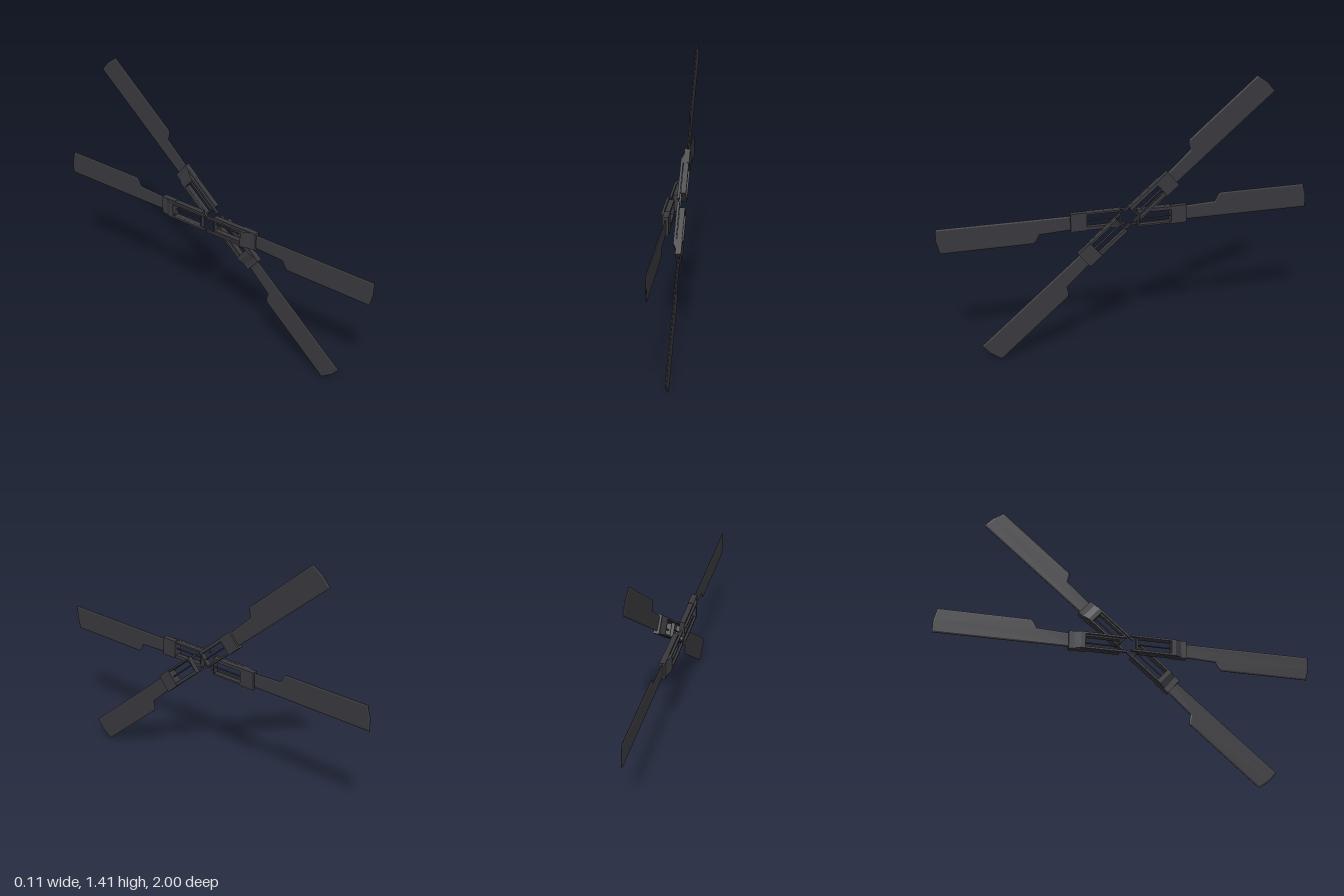
import * as THREE from 'three';

// Arm space: x runs out along the blade, y across its chord, z through its thickness.
function outline(points) {
  return new THREE.Shape(points.map(([x, y]) => new THREE.Vector2(x, y)));
}

function rectHole(x0, x1, y0, y1) {
  return new THREE.Path([[x0, y0], [x0, y1], [x1, y1], [x1, y0]].map(([x, y]) => new THREE.Vector2(x, y)));
}

function createArm(material) {
  const arm = new THREE.Group();
  const add = (name, geometry, x = 0, y = 0, z = 0) => {
    const mesh = new THREE.Mesh(geometry, material);
    mesh.name = name;
    mesh.position.set(x, y, z);
    arm.add(mesh);
    return mesh;
  };

  // Thin blade with bevelled edges, a narrow root and a clipped tip
  const blade = outline([
    [0.27, -0.04], [1.0, -0.0425], [1.0, 0.022], [0.982, 0.0905],
    [0.505, 0.0905], [0.49, 0.075], [0.475, 0.045], [0.27, 0.036],
  ]);
  add('blade', new THREE.ExtrudeGeometry(blade, {
    depth: 0.002, bevelThickness: 0.003, bevelSize: 0.008, bevelOffset: -0.008, bevelSegments: 1,
  }), 0, 0, -0.001);

  // Open grip frame with a solid outer end
  const frame = outline([[0.045, -0.05], [0.23, -0.05], [0.23, 0.043], [0.045, 0.043]]);
  frame.holes.push(rectHole(0.052, 0.228, -0.041, 0.026));
  add('gripFrame', new THREE.ExtrudeGeometry(frame, { depth: 0.027, bevelEnabled: false }), 0, 0, -0.014);
  add('gripBlock', new THREE.BoxGeometry(0.085, 0.098, 0.03), 0.27, -0.004, 0);

  // Thin rod through the middle of the frame
  const rod = add('gripRod', new THREE.CylinderGeometry(0.004, 0.004, 0.18, 8), 0.14, -0.008, 0);
  rod.rotation.z = Math.PI / 2;

  // Slim inner rails
  for (const y of [-0.044, 0.037]) {
    add('innerRail', new THREE.BoxGeometry(0.22, 0.01, 0.013), 0.12, y, -0.0235);
  }

  // Tapered web joining the rails to the block
  const web = outline([[0.228, 0.014], [0.285, 0.014], [0.25, 0.03], [0.228, 0.03]]);
  const webGeometry = new THREE.ExtrudeGeometry(web, { depth: 0.091, bevelEnabled: false });
  webGeometry.rotateX(-Math.PI / 2).rotateX(Math.PI).translate(0, 0.042, 0);
  webGeometry.computeBoundingBox();
  const box = webGeometry.boundingBox;
  if (box.max.z > 0) webGeometry.rotateX(Math.PI);
  webGeometry.computeBoundingBox();
  webGeometry.translate(0, 0.042 - webGeometry.boundingBox.max.y, 0);
  add('taperedWeb', webGeometry);
  return arm;
}

export function createModel() {
  const model = new THREE.Group();
  model.name = 'tailRotor';
  const darkGrey = new THREE.MeshStandardMaterial({ color: 0x39383d });
  darkGrey.name = 'darkGrey';

  // Two stacked pairs of opposite arms
  const arms = [
    ['levelRearArm', 0, -0.014, 0.6925, 0],
    ['levelFrontArm', 180, -0.024, 0.6925, 0],
    ['slantedUpperArm', 40.5, 0.032, 0.707, 0.018],
    ['slantedLowerArm', 220.5, 0.036, 0.707, 0.018],
  ];
  for (const [name, degrees, x, y, z] of arms) {
    const arm = createArm(darkGrey);
    arm.name = name;
    arm.position.set(x, y, z);
    arm.rotation.set(THREE.MathUtils.degToRad(degrees), Math.PI / 2, 0);
    model.add(arm);
  }
  return model;
}
